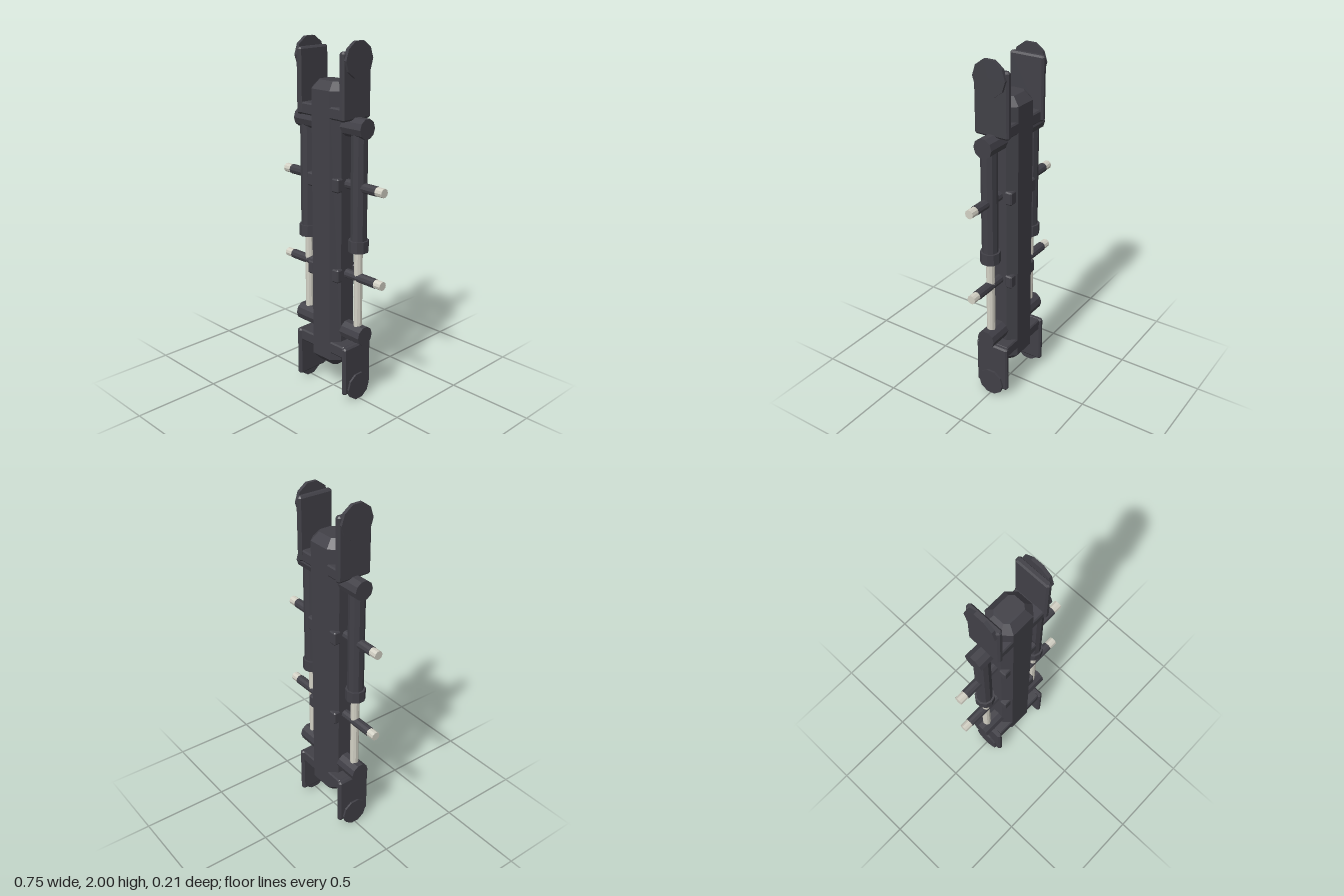
import * as THREE from 'three';

export function createModel() {
  const model = new THREE.Group();
  const dark = new THREE.MeshStandardMaterial({ color: 0x414047, flatShading: true });
  dark.name = 'dark metal';
  const steel = new THREE.MeshStandardMaterial({ color: 0xd2d0c4, flatShading: true });
  steel.name = 'pale steel';

  function add(name, geometry, material, x = 0, y = 0, z = 0) {
    const mesh = new THREE.Mesh(geometry, material);
    mesh.name = name;
    mesh.position.set(x, y, z);
    model.add(mesh);
    return mesh;
  }

  // Vertical prism with its end rims cut back by a single bevel
  function bevelPrism(points, height, inset, drop) {
    const shape = new THREE.Shape(points.map(([x, z]) => new THREE.Vector2(x, z)));
    const g = new THREE.ExtrudeGeometry(shape, {
      depth: height - 2 * drop, bevelEnabled: true, bevelSegments: 1,
      bevelSize: inset, bevelThickness: drop, bevelOffset: -inset,
    });
    g.translate(0, 0, drop - height / 2);
    g.rotateX(-Math.PI / 2);
    return g;
  }

  // Rectangle with cut corners
  const cutRect = (w, d, cx, cz = cx) => [
    [w - cx, -d], [w, cz - d], [w, d - cz], [w - cx, d],
    [cx - w, d], [-w, d - cz], [-w, cz - d], [cx - w, -d],
  ];

  const chamferBox = (w, h, d, c) => bevelPrism(cutRect(w / 2, d / 2, c), h, c * 0.8, c);
  const rodX = (r, length) => new THREE.CylinderGeometry(r, r, length, 10).rotateZ(Math.PI / 2);
  const rodY = (r, length) => new THREE.CylinderGeometry(r, r, length, 10);

  // Central eight-sided column and the cross beams through it
  add('column', bevelPrism(cutRect(0.11, 0.093, 0.043, 0.046), 1.615, 0.04, 0.045), dark, 0, 0.9825);
  add('upperBeam', chamferBox(0.31, 0.065, 0.186, 0.008), dark, 0, 1.633);
  add('lowerBeam', chamferBox(0.35, 0.07, 0.186, 0.008), dark, 0, 0.3);

  for (const [side, s] of [['left', 1], ['right', -1]]) {
    // Mounting plates with round bosses at both ends
    add(side + 'UpperPlate', chamferBox(0.035, 0.35, 0.207, 0.01), dark, s * 0.159, 1.775);
    add(side + 'UpperBoss', rodX(0.097, 0.02), dark, s * 0.181, 1.908);
    add(side + 'LowerPlate', chamferBox(0.033, 0.29, 0.207, 0.01), dark, s * 0.181, 0.19);
    add(side + 'LowerBoss', rodX(0.081, 0.018), dark, s * 0.2, 0.077);

    // Piston with pivots, barrel, collar and rod
    add(side + 'UpperPivot', rodX(0.055, 0.155), dark, s * 0.1725, 1.563);
    add(side + 'LowerPivot', rodX(0.055, 0.155), dark, s * 0.1725, 0.402);
    add(side + 'Barrel', rodY(0.045, 0.61), dark, s * 0.194, 1.235);
    add(side + 'Collar', rodY(0.056, 0.065), dark, s * 0.194, 0.9225);
    add(side + 'PistonRod', rodY(0.024, 0.5), steel, s * 0.194, 0.66);

    // Side pins with pale tips and clamp blocks at the column
    for (const [level, y] of [['Upper', 1.25], ['Lower', 0.738]]) {
      add(side + level + 'Pin', rodX(0.027, 0.23), dark, s * 0.21, y);
      add(side + level + 'PinTip', rodX(0.025, 0.055), steel, s * 0.3465, y);
      for (const z of [-0.0625, 0.0625]) {
        add(side + level + 'Clamp', chamferBox(0.05, 0.075, 0.045, 0.007), dark, s * 0.095, y, z);
      }
    }
  }
  return model;
}
